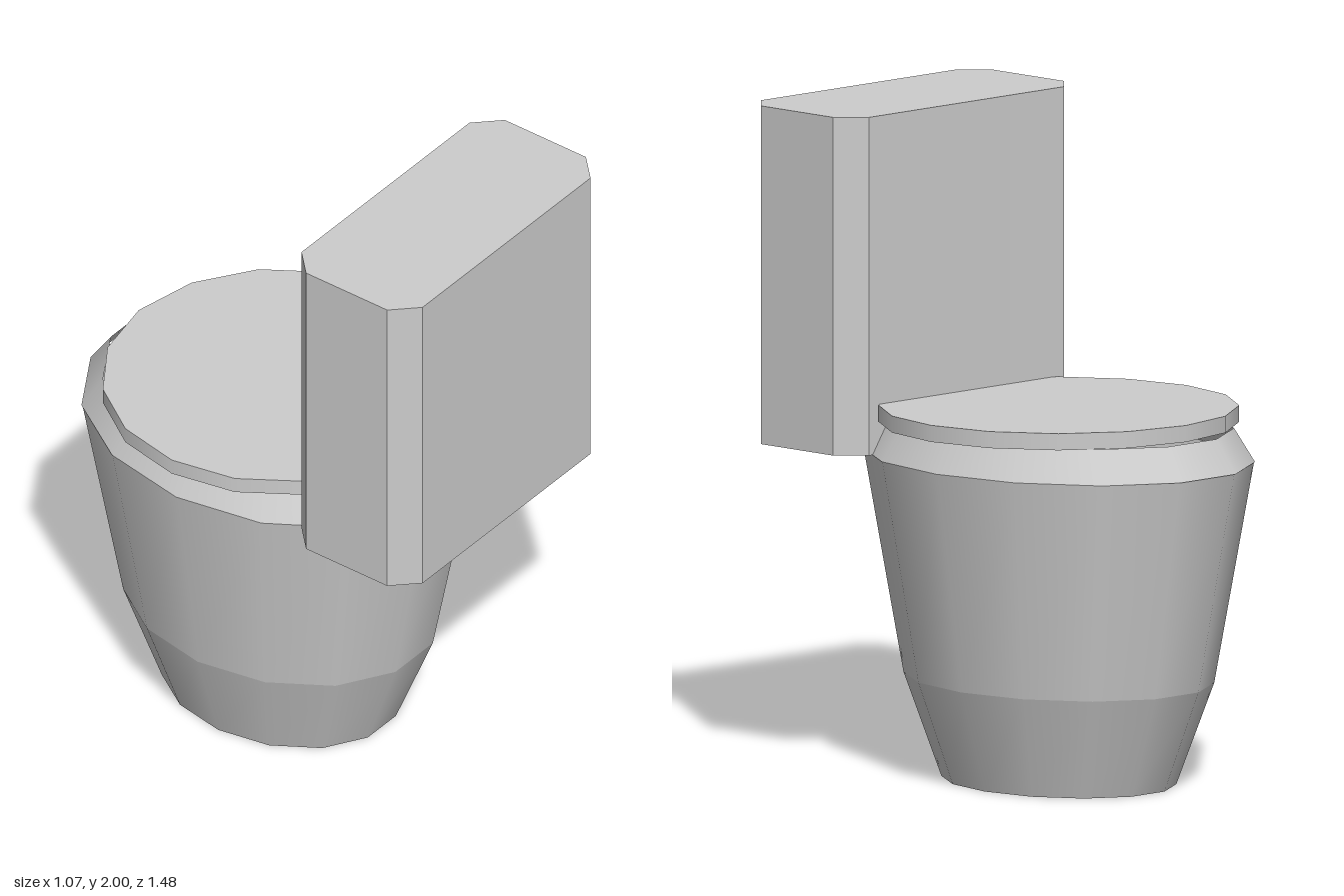
import * as THREE from 'three';

const CENTRE_Z = -0.11; // middle of the bowl and lid
const SIDES = 14;

// Open oval band between two rings, each given as [y, radiusX]; depth is the z radius per x radius
function ovalBand(name, [y0, r0], [y1, r1], depth, material) {
  const geo = new THREE.CylinderGeometry(r1, r0, y1 - y0, SIDES, 1, true, Math.PI / SIDES);
  geo.scale(1, 1, depth);
  const mesh = new THREE.Mesh(geo, material);
  mesh.name = name;
  mesh.position.set(0, (y0 + y1) / 2, CENTRE_Z);
  return mesh;
}

export function createModel() {
  const model = new THREE.Group();
  model.name = 'toilet';

  const porcelain = new THREE.MeshStandardMaterial({ color: 0xcccccc, side: THREE.DoubleSide });
  porcelain.name = 'porcelain grey';

  // Hollow bowl: foot, body and inward-sloping rim
  const bowl = new THREE.Group();
  bowl.name = 'bowl';
  bowl.add(
    ovalBand('foot', [0, 0.31], [0.31, 0.41], 1.245, porcelain),
    ovalBand('body', [0.31, 0.41], [0.98, 0.515], 1.245, porcelain),
    ovalBand('rim', [0.98, 0.515], [1.08, 0.46], 1.255, porcelain)
  );
  // The rim's lower ring meets the body's upper ring
  model.add(bowl);

  // Round lid
  const lid = new THREE.Mesh(new THREE.CylinderGeometry(0.537, 0.537, 0.05, 16), porcelain);
  lid.name = 'lid';
  lid.position.set(0, 1.105, CENTRE_Z);
  model.add(lid);

  // Tank: upright block with chamfered corners
  const hw = 0.485, hd = 0.2275, cut = 0.075;
  const outline = new THREE.Shape([
    [hw - cut, -hd], [hw, -hd + cut], [hw, hd - cut], [hw - cut, hd],
    [-hw + cut, hd], [-hw, hd - cut], [-hw, -hd + cut], [-hw + cut, -hd],
  ].map(([x, y]) => new THREE.Vector2(x, y)));
  const tankGeo = new THREE.ExtrudeGeometry(outline, { depth: 1.02, bevelEnabled: false });
  tankGeo.rotateX(-Math.PI / 2);
  const tank = new THREE.Mesh(tankGeo, porcelain);
  tank.name = 'tank';
  tank.position.set(0, 0.98, 0.5075);
  model.add(tank);

  return model;
}
